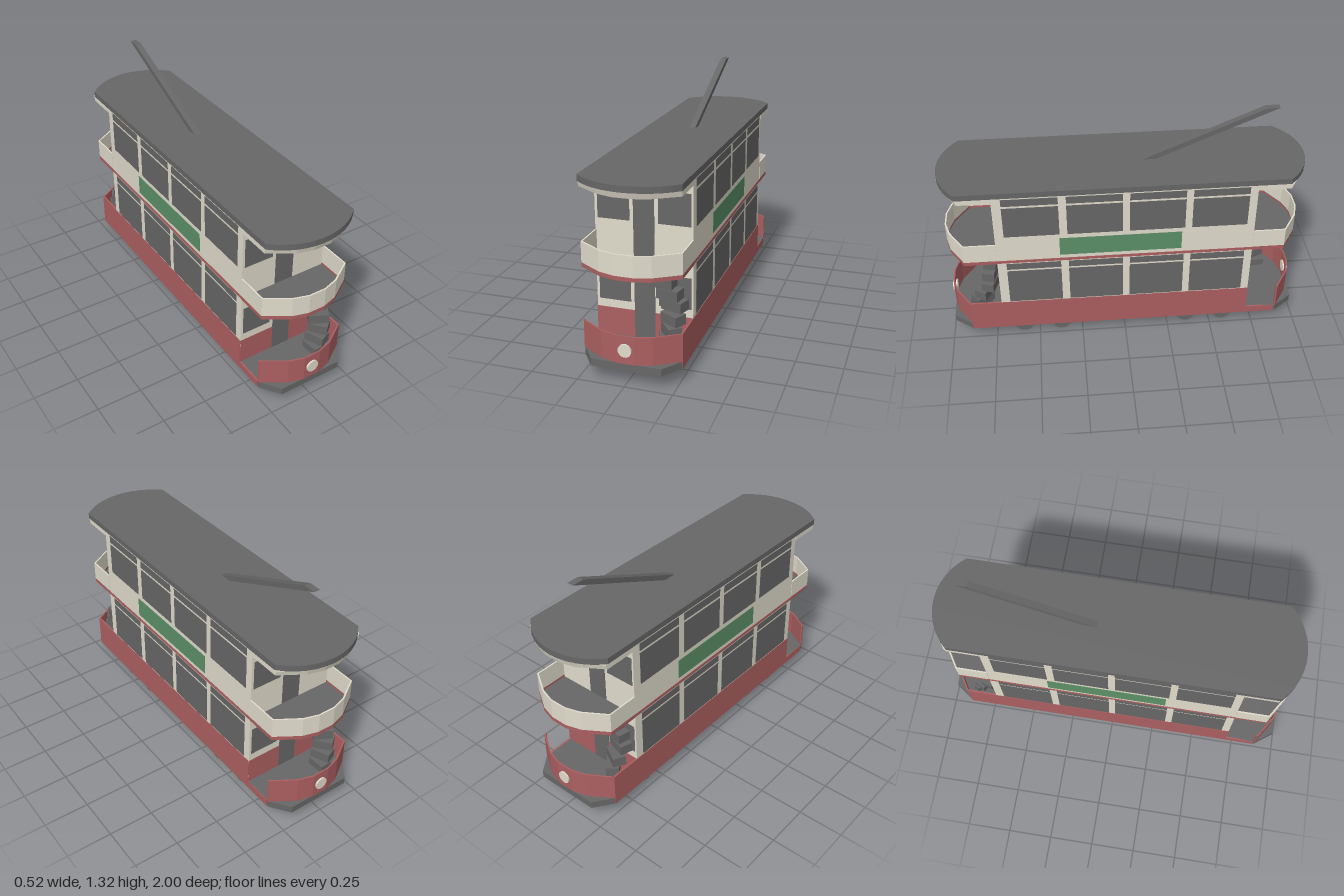
import * as THREE from 'three';

const mat = (name, color) => {
  const m = new THREE.MeshStandardMaterial({ color });
  m.name = name;
  return m;
};

export function createModel() {
  const dark = mat('dark grey', 0x676767);
  const cream = mat('cream', 0xe1dccc);
  const red = mat('red', 0xac5f60);
  const green = mat('green', 0x5c9068);
  const tram = new THREE.Group();
  tram.name = 'doubleDeckTram';
  const body = new THREE.Group();
  body.name = 'body';
  body.position.x = 0.004;
  tram.add(body);

  const add = (parent, name, geo, material) => {
    const m = new THREE.Mesh(geo, material);
    m.name = name;
    parent.add(m);
    return m;
  };
  // Box given by its limits on each axis
  const box = (parent, name, material, x0, x1, y0, y1, z0, z1) => {
    const m = add(parent, name, new THREE.BoxGeometry(x1 - x0, y1 - y0, z1 - z0), material);
    m.position.set((x0 + x1) / 2, (y0 + y1) / 2, (z0 + z1) / 2);
    return m;
  };
  const extrude = (pts, depth) => new THREE.ExtrudeGeometry(
    new THREE.Shape(pts.map(([u, v]) => new THREE.Vector2(u, v))), { depth, bevelEnabled: false });
  // Plan outline (x, z) extruded between two heights
  const slab = (parent, name, material, pts, y0, y1) =>
    add(parent, name, extrude(pts, y1 - y0).rotateX(Math.PI / 2).translate(0, y1, 0), material);
  // Bowed roof end, running from +x to -x
  const bow = (hw, edge, tip, n) => {
    const s = tip - edge, r = (hw * hw + s * s) / (2 * s), half = Math.asin(hw / r);
    return Array.from({ length: n + 1 }, (_, i) => {
      const a = half - (2 * half * i) / n;
      return [r * Math.sin(a), tip - r + r * Math.cos(a)];
    });
  };
  // Five-sided platform end, drawn inwards by t
  const platformEnd = (t) => {
    const right = [[0.26 - t, 0.882 - t / 2], [0.134 - t / 2, 0.963 - t], [0.048, 0.988 - t]];
    return [...right, ...right.map(([x, z]) => [-x, z]).reverse()];
  };
  // Thin platform wall with separate side lengths
  const bowWall = (parent, name, material, zRight, zLeft, y0, y1, t = 0.008) => slab(parent, name, material, [
    [0.26, zRight], ...platformEnd(0), [-0.26, zLeft],
    [t - 0.26, zLeft], ...platformEnd(t).reverse(), [0.26 - t, zRight]], y0, y1);

  // Saloon floor, set up between the side panels
  box(body, 'saloonFloor', dark, -0.252, 0.252, 0.103, 0.12, -0.705, 0.705);

  // Two-storey saloon
  box(body, 'saloon', cream, -0.2575, 0.2575, 0.12, 1.0, -0.705, 0.705);

  // Roof with bowed ends
  const rear = bow(0.262, 0.878, 1, 12).map(([x, z]) => [-x, -z]);
  slab(body, 'roof', dark, [...bow(0.262, 0.893, 1, 12), ...rear], 1.0, 1.033);

  // Trolley pole, cut level at both ends (profile in -z, y)
  const pole = extrude([[0.105, 1.03], [0.178, 1.03], [0.84, 1.318], [0.77, 1.318]], 0.036);
  add(tram, 'trolleyPole', pole.rotateY(Math.PI / 2).translate(-0.018, 0, 0), dark);

  // Trucks: frame and four wheels each
  for (const [z0, z1] of [[0.373, 0.588], [-0.577, -0.36]]) {
    box(body, 'truckFrame', dark, -0.175, 0.18, 0.03, 0.08, z0, z1);
    for (const z of [z0, z1]) for (const s of [-1, 1]) {
      const wheel = add(body, 'wheel', new THREE.CylinderGeometry(0.054, 0.054, 0.035, 20), dark);
      wheel.rotation.z = Math.PI / 2;
      wheel.position.set(0.004 + s * 0.195, 0.054, z);
    }
  }

  // Half of the tram: the +x side and the +z end; stairInset tucks the upper steps towards the saloon
  const buildHalf = (name, stairInset) => {
    const g = new THREE.Group();
    g.name = name;

    // Platform with chamfered corners
    slab(g, 'platform', dark, [[0.257, 0.7], [0.257, 0.882], [0.182, 0.985], [-0.182, 0.985],
      [-0.257, 0.882], [-0.257, 0.7]], 0.08, 0.12);

    // Side panels
    box(g, 'rockerPanel', red, 0.25, 0.26, 0.08, 0.27, -0.705, 0.882);
    box(g, 'stepFascia', red, 0.25, 0.26, 0.08, 0.12, -0.87, -0.705);
    box(g, 'waistStripe', red, 0.25, 0.26, 0.56, 0.577, -0.705, 0.705);
    box(g, 'advertPanel', green, 0.252, 0.2595, 0.6, 0.715, -0.307, 0.36);

    // Side windows with narrow top lights
    for (const [z0, z1] of [[0.357, 0.655], [0.015, 0.315], [-0.322, -0.022], [-0.662, -0.36]]) {
      for (const [y0, y1] of [[0.275, 0.5], [0.512, 0.553], [0.742, 0.933], [0.946, 0.99]]) {
        box(g, 'sideWindow', dark, 0.252, 0.259, y0, y1, z0, z1);
      }
    }

    // End wall: red dado, doors and windows
    box(g, 'endDado', red, -0.257, 0.257, 0.12, 0.27, 0.7, 0.7065);
    for (const [y0, y1] of [[0.12, 0.54], [0.57, 0.975]]) {
      box(g, 'door', dark, -0.053, 0.057, y0, y1, 0.701, 0.708);
    }
    for (const [y0, y1] of [[0.315, 0.485], [0.755, 0.925]]) {
      for (const s of [-1, 1]) {
        const x = s * 0.16 + 0.002;
        box(g, 'endWindow', dark, x - 0.085, x + 0.085, y0, y1, 0.701, 0.707);
      }
    }

    // Platform dash, open on the boarding side
    bowWall(g, 'dash', red, 0.705, 0.872, 0.12, 0.27);
    const lamp = add(g, 'headlamp', new THREE.CylinderGeometry(0.035, 0.035, 0.025, 20), cream);
    lamp.rotation.x = Math.PI / 2;
    lamp.position.set(0, 0.195, 0.985);

    // Balcony: floor, red skirting, cream parapet
    slab(g, 'balconyFloor', dark, [[0.253, 0.7], ...platformEnd(0.007), [-0.253, 0.7]], 0.556, 0.567);
    bowWall(g, 'balconySkirting', red, 0.705, 0.705, 0.558, 0.58);
    bowWall(g, 'balconyParapet', cream, 0.705, 0.705, 0.58, 0.69);

    // Canopy rim, leaning outwards at the top, and ribs
    const rim = bowWall(g, 'canopyRim', cream, 0.705, 0.705, 0.97, 1.0, 0.02).geometry;
    const p = rim.attributes.position;
    for (let i = 0; i < p.count; i++) {
      if (p.getY(i) > 0.985 && p.getZ(i) > 0.8) p.setZ(i, p.getZ(i) + 0.01);
    }
    rim.computeVertexNormals();
    box(g, 'canopyRib', cream, -0.245, 0.245, 0.975, 1.0, 0.83, 0.85);
    for (const x of [-0.1, 0.1]) box(g, 'canopyRib', cream, x - 0.01, x + 0.01, 0.975, 1.0, 0.7, 0.955);

    // Winding stair: x, z, width, turn for each step from top to bottom
    const steps = [[0.095, 0.75, 0.085, 0], [0.122, 0.752, 0.11, 0.12], [0.153, 0.757, 0.12, 0.2],
      [0.178, 0.758, 0.12, 0.3], [0.182, 0.795, 0.11, 0.5], [0.178, 0.812, 0.11, 0.9],
      [0.16, 0.825, 0.11, 1.2], [0.135, 0.835, 0.1, 1.5]];
    steps.forEach(([x, z, w, turn], i) => {
      const step = add(g, 'stairStep', new THREE.BoxGeometry(w, 0.054, 0.07), dark);
      step.position.set(x, 0.532 - i * 0.0565, z - stairInset * (1 - i / 7));
      step.rotation.y = -turn;
    });
    return g;
  };
  const otherHalf = buildHalf('rightSideAndRearEnd', 0.035);
  otherHalf.rotation.y = Math.PI;
  body.add(buildHalf('leftSideAndFrontEnd', 0), otherHalf);

  return tram;
}
